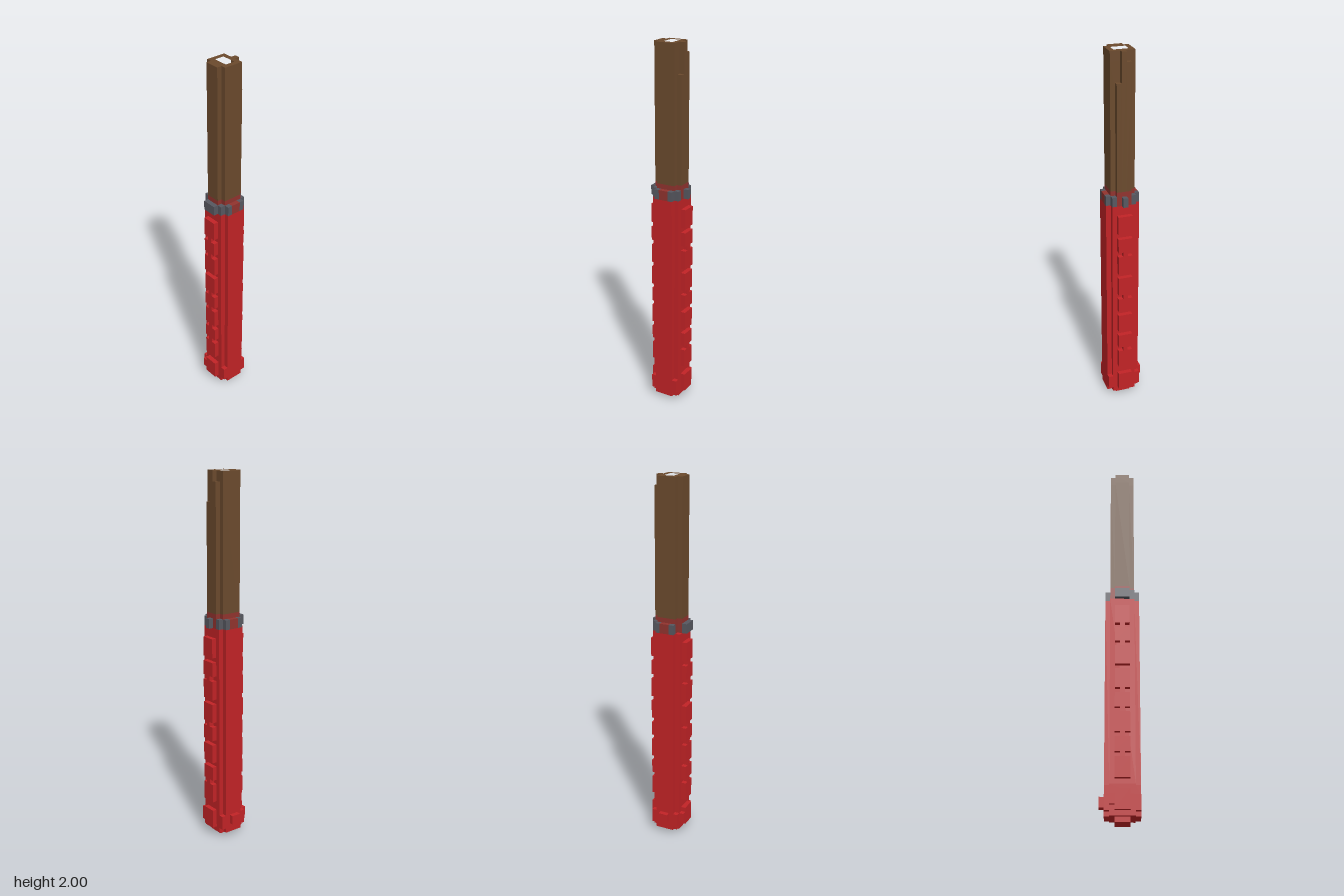
import * as THREE from 'three';

const U = 2 / 77; // size of one block

const paint = (name, color) => {
  const m = new THREE.MeshStandardMaterial({ color });
  m.name = name;
  return m;
};

// Rectangle with square notches cut from its corners, as plan points [x, z]
const notched = (x0, x1, z0, z1) => [
  [x0 + 1, z0], [x1 - 1, z0], [x1 - 1, z0 + 1], [x1, z0 + 1],
  [x1, z1 - 1], [x1 - 1, z1 - 1], [x1 - 1, z1], [x0 + 1, z1],
  [x0 + 1, z1 - 1], [x0, z1 - 1], [x0, z0 + 1], [x0 + 1, z0 + 1],
];

const toPoints = (plan) => plan.map(([x, z]) => new THREE.Vector2(x * U, -z * U));

export function createModel() {
  const model = new THREE.Group();
  model.name = 'screwdriver';
  const red = paint('red', 0xc22326);
  const brown = paint('brown', 0x6b4a2d);
  const grey = paint('grey', 0x575860);
  const darkRed = paint('darkRed', 0x91332e);

  // Box given by its block limits
  const box = (name, mat, x0, x1, y0, y1, z0, z1) => {
    const g = new THREE.BoxGeometry((x1 - x0) * U, (y1 - y0) * U, (z1 - z0) * U);
    const m = new THREE.Mesh(g, mat);
    m.position.set((x0 + x1) * U / 2, (y0 + y1) * U / 2, (z0 + z1) * U / 2);
    m.name = name;
    model.add(m);
  };

  // Upright prism from a plan outline, optionally with a hole
  const prism = (name, mat, plan, y0, y1, hole) => {
    const shape = new THREE.Shape(toPoints(plan));
    if (hole) shape.holes.push(new THREE.Path(toPoints(hole)));
    const g = new THREE.ExtrudeGeometry(shape, { depth: (y1 - y0) * U, bevelEnabled: false });
    g.rotateX(-Math.PI / 2);
    const m = new THREE.Mesh(g, mat);
    m.position.y = y0 * U;
    m.name = name;
    model.add(m);
  };

  // Rounded butt of the handle
  box('buttTip', red, -1, 2, 0, 1, -2, 2);
  prism('buttStep', red, notched(-3, 4, -3, 3), 1, 2);
  box('butt', red, -3, 4, 2, 5, -3, 3);
  prism('buttTop', red, notched(-3, 4, -3, 3), 5, 7);
  box('buttFront', red, -1, 2, 2, 6, 3, 4);
  box('buttFrontEdge', red, -2, -1, 3, 5, 3, 4);
  box('buttBack', red, -1, 2, 2, 6, -4, -3);
  box('sideKnob', red, -4, -3, 3, 5, -1, 1);

  // Handle body with notched corners
  prism('handle', red, notched(-3, 4, -3, 3), 7, 46);

  // Grip panels: full-width pads joined by narrow necks
  const pads = [[40, 44], [36, 39], [31, 35], [26, 30], [22, 25], [17, 21], [13, 16], [8, 12]];
  for (const [y0, y1] of pads) {
    box('frontGripPad', red, -1, 2, y0, y1, 3, 4);
    box('backGripPad', red, -1, 2, y0, y1, -4, -3);
  }
  for (const y of [39, 35, 25, 21, 16, 12]) box('frontGripNeck', red, 0, 1, y, y + 1, 3, 4);
  for (const y of [35, 25, 12]) box('backGripNeck', red, 0, 1, y, y + 1, -4, -3);

  // Collar of separate blocks around the shaft
  for (const x of [-3, 3]) {
    box('collarSide', darkRed, x, x + 1, 46, 48, -1, 1);
    for (const z of [-2, 1]) box('collarBlock', grey, x, x + 1, 46, 48, z, z + 1);
  }
  box('collarBackCorner', grey, -2, -1, 46, 48, -3, -2);
  box('collarBackCorner', grey, 2, 3, 46, 48, -3, -2);
  box('collarFrontCorner', grey, 2, 3, 46, 48, 2, 3);
  box('collarFront', grey, -1, 2, 46, 48, 3, 4);
  box('collarBack', grey, 0, 1, 46, 48, -4, -3);

  // Stained foot of the shaft
  prism('shaftFoot', darkRed, notched(-2, 3, -3, 3), 46, 49);

  // Shaft with a raised front, a broken back rib and a socket in the top
  const shaft = [[-2, -2], [3, -2], [3, 2], [2, 2], [2, 3], [-1, 3], [-1, 2], [-2, 2]];
  const socket = [[-1, -1], [2, -1], [2, 1], [-1, 1]];
  prism('shaft', brown, shaft, 49, 75);
  prism('shaftRim', brown, shaft, 75, 77, socket);
  box('backRib', brown, 1, 2, 49, 71, -3, -2);
  box('backRib', brown, 0, 1, 49, 77, -3, -2);
  box('backRib', brown, -1, 0, 49, 75, -3, -2);

  return model;
}
